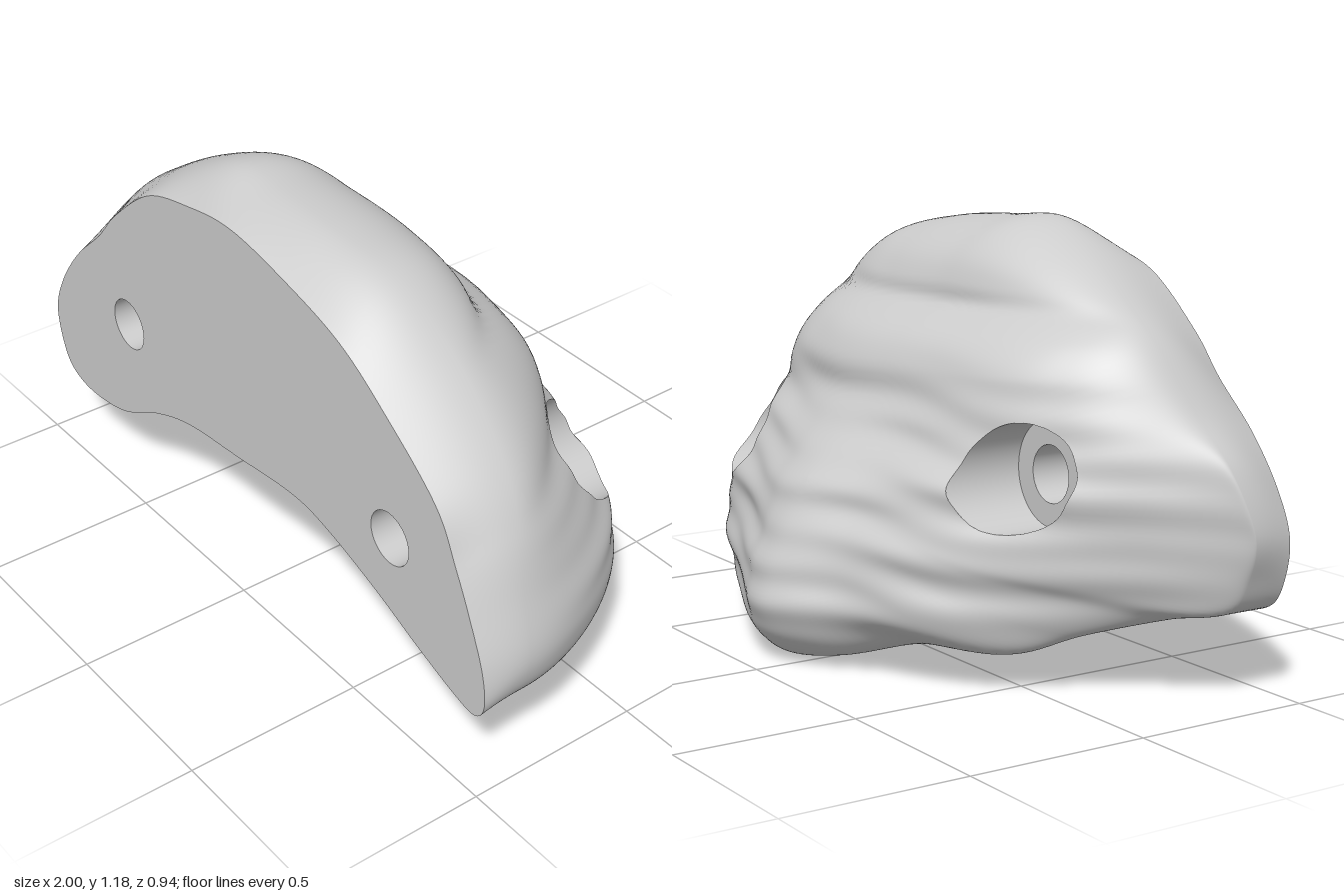
import * as THREE from 'three';

const FACE_Z = 0.47, CY = 0.5, AROUND = 232, RINGS = 50, SIDE = 12;

// Outline, counter-clockwise: flat face x, y, then the widest rim x, y, z
const OUTLINE = [
  [0.975, 0.36, 1, 0.38, 0.34], [0.93, 0.48, 0.96, 0.5, 0.33], [0.87, 0.61, 0.9, 0.65, 0.3],
  [0.79, 0.75, 0.8, 0.79, 0.27], [0.6, 0.9, 0.6, 0.96, 0.25], [0.42, 1.01, 0.4, 1.1, 0.27],
  [0.2, 1.075, 0.2, 1.15, 0.3], [-0.03, 1.115, -0.05, 1.17, 0.3], [-0.22, 1.095, -0.22, 1.175, 0.3],
  [-0.42, 1.04, -0.4, 1.1, 0.28], [-0.6, 0.9, -0.6, 0.98, 0.25], [-0.7, 0.79, -0.72, 0.89, 0.25],
  [-0.83, 0.67, -0.84, 0.73, 0.28], [-0.93, 0.54, -0.95, 0.61, 0.3], [-0.98, 0.42, -1, 0.45, 0.34],
  [-0.96, 0.3, -0.97, 0.33, 0.35], [-0.91, 0.235, -0.92, 0.24, 0.33], [-0.8, 0.212, -0.8, 0.21, 0.25],
  [-0.63, 0.24, -0.66, 0.16, 0.08], [-0.45, 0.33, -0.53, 0.1, -0.05], [-0.28, 0.385, -0.3, 0.09, -0.15],
  [-0.05, 0.41, -0.1, 0.03, -0.28], [0.2, 0.435, 0.1, 0, -0.32], [0.35, 0.415, 0.3, 0.02, -0.31],
  [0.55, 0.35, 0.55, 0.1, -0.2], [0.72, 0.28, 0.75, 0.15, 0.05], [0.87, 0.225, 0.9, 0.2, 0.28],
  [0.95, 0.212, 0.97, 0.24, 0.34], [0.985, 0.26, 1, 0.3, 0.35],
];

const HOLES = [
  { name: 'rightBoltHole', x: -0.57, y: 0.565, r: 0.075, R: 0.138, floor: 0.035 },
  { name: 'leftBoltHole', x: 0.615, y: 0.545, r: 0.075, R: 0.145, floor: 0.04 },
];

function smoothTable(pairs) {
  const it = new THREE.CubicInterpolant(pairs.map(p => p[0]), pairs.map(p => p[1]), 1);
  const lo = pairs[0][0], hi = pairs[pairs.length - 1][0];
  return t => it.evaluate(THREE.MathUtils.clamp(t, lo, hi))[0];
}

// z of the low nose and of the upper shelf for each x, and how far the back recedes with height
const nose = smoothTable([[-1, 0.3], [-0.9, 0.14], [-0.8, 0.05], [-0.6, -0.14], [-0.5, -0.23], [-0.4, -0.29],
  [-0.2, -0.38], [0, -0.475], [0.1, -0.47], [0.2, -0.43], [0.4, -0.36], [0.6, -0.33], [0.8, -0.27], [0.9, -0.2], [1, -0.1]]);
const shelf = smoothTable([[-1, 0.3], [-0.8, 0.03], [-0.6, -0.06], [-0.45, -0.1], [-0.2, -0.13], [0.1, -0.16],
  [0.3, -0.15], [0.5, -0.12], [0.65, -0.05], [0.8, 0.03], [1, 0.12]]);
const SHELF_STEP = 0.335;
const recede = smoothTable([[0, 0], [0.1, 0], [0.2, 0], [0.3, 0.05], [0.4, 0.085], [0.45, 0.12], [0.52, 0.16],
  [0.6, 0.24], [0.65, 0.29], [0.7, 0.32], [0.8, 0.335], [0.88, 0.38], [0.92, 0.43], [0.95, 0.475], [1, 0.47], [1.1, 0.46], [1.18, 0.46]]);

function loop(pick) {
  const curve = new THREE.CatmullRomCurve3(OUTLINE.map(pick), true, 'catmullrom', 0.5);
  return Array.from({ length: AROUND }, (_, i) => curve.getPoint(i / AROUND));
}
const face = loop(p => new THREE.Vector3(p[0], p[1], FACE_Z));
const rim = loop(p => new THREE.Vector3(p[2], p[3], p[4]));

// Rim radius and rim z in the direction of a point, seen from the middle
const polar = rim.map(p => ({ a: Math.atan2(p.y - CY, p.x), r: Math.hypot(p.x, p.y - CY), z: p.z }))
  .sort((p, q) => p.a - q.a);
function rimAt(angle) {
  const n = polar.length;
  const k = Math.max(0, polar.findIndex(p => p.a > angle));
  const q = polar[k], p = polar[(k + n - 1) % n];
  const turn = 2 * Math.PI, wrap = d => ((d % turn) + turn) % turn;
  const t = wrap(angle - p.a) / (wrap(q.a - p.a) || 1);
  return { r: p.r + (q.r - p.r) * t, z: p.z + (q.z - p.z) * t };
}

// Height of the rounded, rippled back surface
function backZ(x, y) {
  const edge = rimAt(Math.atan2(y - CY, x));
  const s = Math.min(1, Math.hypot(x, y - CY) / edge.r);
  const round = Math.sqrt(1 - s ** 5);
  const back = recede(y);
  const climb = THREE.MathUtils.lerp(nose(x), shelf(x), Math.min(1, back / SHELF_STEP));
  const crown = Math.max(0, back - SHELF_STEP) * (1 - 0.7 * x * x);
  const low = 1 - THREE.MathUtils.smoothstep(y, 0.6, 0.85);
  const ripple = 0.007 * Math.sin(36 * y + 2 * x + 0.8 * Math.sin(4 * x))
    + 0.004 * Math.sin(63 * y - 5 * x + Math.sin(9 * x));
  const h = climb + crown + ripple * (0.2 + 0.8 * low);
  return edge.z + (h - edge.z) * round;
}

function buildBody() {
  const pos = [], inside = [], index = [];
  // Side wall from the flat face to the rim: bulging on top, hollow below
  for (let j = 0; j <= SIDE; j++) {
    const t = j / SIDE;
    for (let i = 0; i < AROUND; i++) {
      const f = face[i], r = rim[i];
      const under = THREE.MathUtils.clamp((0.25 - r.z) / 0.3, 0, 1);
      const hollow = 0.4 * t + 0.6 * THREE.MathUtils.smoothstep(t, 0, 1);
      const e = THREE.MathUtils.lerp(Math.sin(t * Math.PI / 2), hollow, under);
      pos.push(f.x + (r.x - f.x) * e, f.y + (r.y - f.y) * e, f.z + (r.z - f.z) * t);
      inside.push(-1);
    }
  }
  // Back surface in shrinking rings, opened at the bolt holes
  for (let j = 1; j <= RINGS; j++) {
    const s = Math.cos((j / RINGS) * Math.PI / 2);
    for (let i = 0; i < AROUND; i++) {
      let x = rim[i].x * s, y = CY + (rim[i].y - CY) * s, hit = -1;
      HOLES.forEach((h, n) => {
        const d = Math.hypot(x - h.x, y - h.y);
        if (d < h.R) {
          hit = n;
          const g = h.R / Math.max(d, 1e-4);
          x = h.x + (x - h.x) * g;
          y = h.y + (y - h.y) * g;
        }
      });
      pos.push(x, y, backZ(x, y));
      inside.push(hit);
    }
  }
  const tri = (a, b, c) => {
    if (inside[a] < 0 || inside[b] < 0 || inside[c] < 0) index.push(a, b, c);
  };
  for (let j = 0; j < SIDE + RINGS; j++) {
    for (let i = 0; i < AROUND; i++) {
      const n = (i + 1) % AROUND;
      const a = j * AROUND + i, b = j * AROUND + n, c = a + AROUND, d = b + AROUND;
      tri(a, c, b);
      tri(b, c, d);
    }
  }
  const g = new THREE.BufferGeometry();
  g.setAttribute('position', new THREE.Float32BufferAttribute(pos, 3));
  g.setIndex(index);
  g.computeVertexNormals();
  return g;
}

function buildFace() {
  const shape = new THREE.Shape(face.map(p => new THREE.Vector2(p.x, p.y)));
  for (const h of HOLES) shape.holes.push(new THREE.Path().absarc(h.x, h.y, h.r, 0, Math.PI * 2, true));
  return new THREE.ShapeGeometry(shape, 24).translate(0, 0, FACE_Z);
}

export function createModel() {
  const group = new THREE.Group();
  const solid = new THREE.MeshStandardMaterial({ color: 0xcccccc });
  const thin = new THREE.MeshStandardMaterial({ color: 0xcccccc, side: THREE.DoubleSide });
  const add = (parent, name, geometry, material) => {
    const mesh = new THREE.Mesh(geometry, material);
    mesh.name = name;
    parent.add(mesh);
  };
  add(group, 'rockBody', buildBody(), solid);
  add(group, 'mountingFace', buildFace(), solid);

  // Stepped bolt holes: wide recess, ledge and narrow bore
  for (const h of HOLES) {
    const hole = new THREE.Group();
    hole.name = h.name;
    const recess = new THREE.CylinderGeometry(h.R, h.R, 1, 64, 1, true).rotateX(Math.PI / 2);
    const p = recess.attributes.position;
    for (let i = 0; i < p.count; i++) {
      p.setZ(i, p.getZ(i) > 0 ? h.floor : backZ(h.x + p.getX(i), h.y + p.getY(i)));
    }
    const depth = FACE_Z - h.floor;
    const bore = new THREE.CylinderGeometry(h.r, h.r, depth, 48, 1, true).rotateX(Math.PI / 2);
    add(hole, 'recessWall', recess, thin);
    add(hole, 'recessLedge', new THREE.RingGeometry(h.r, h.R, 64).translate(0, 0, h.floor), thin);
    add(hole, 'bore', bore.translate(0, 0, h.floor + depth / 2), thin);
    hole.position.set(h.x, h.y, 0);
    group.add(hole);
  }
  return group;
}
